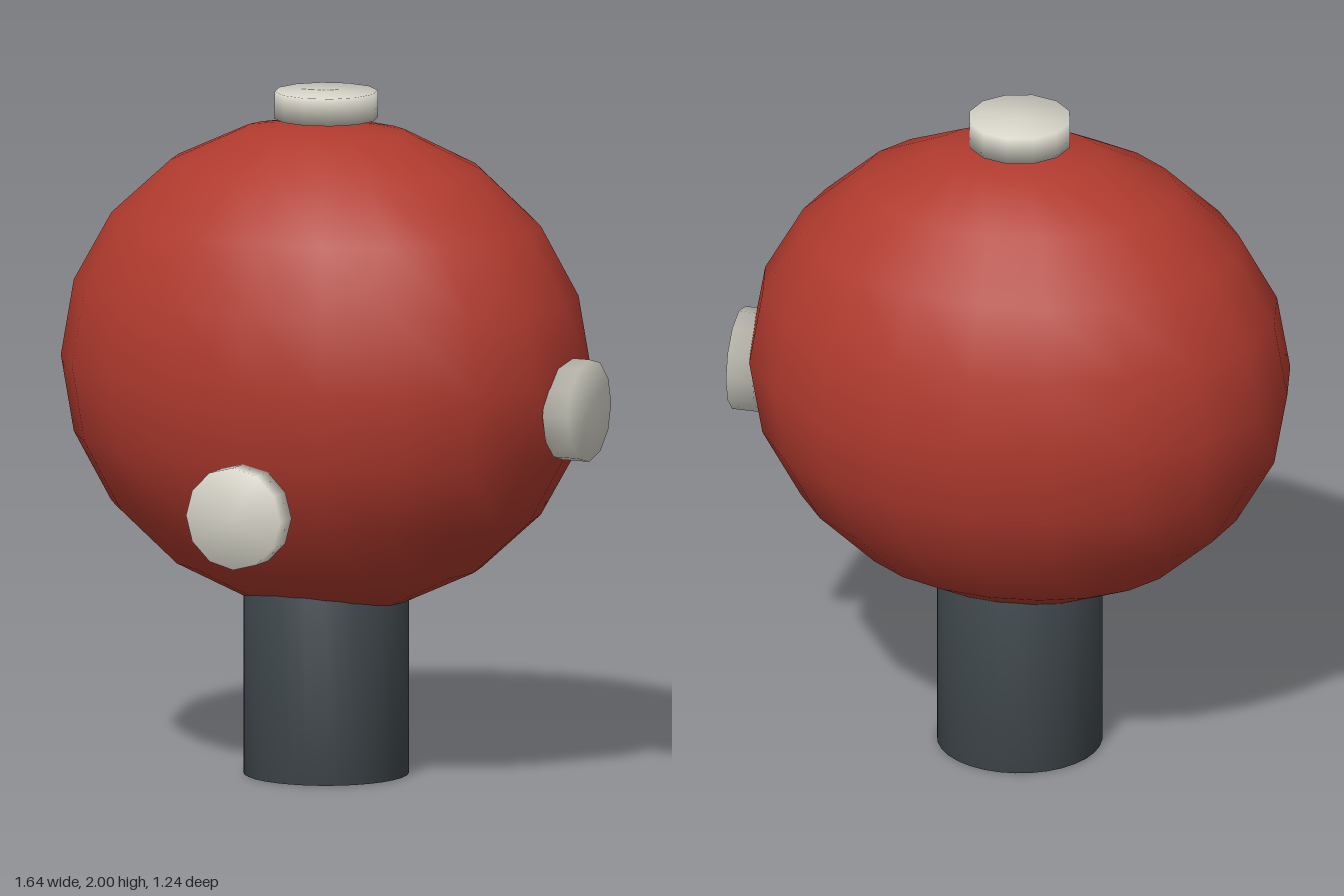
import * as THREE from 'three';

const mat = (color) => new THREE.MeshStandardMaterial({ color });
const profile = (pts) => pts.map(([r, y]) => new THREE.Vector2(r, y));

export function createModel() {
  const model = new THREE.Group();
  const red = mat(0xb03a2e), dark = mat(0x3f474b), pale = mat(0xd6d4c8);
  const C = -0.02; // shared axis offset in x and z

  const add = (name, geometry, material, x, y, z) => {
    const mesh = new THREE.Mesh(geometry, material);
    mesh.name = name;
    mesh.position.set(x, y, z);
    model.add(mesh);
    return mesh;
  };

  // Egg-shaped body
  const bodyGeo = new THREE.SphereGeometry(1, 20, 10);
  bodyGeo.scale(0.8, 0.72, 0.6);
  add('body', bodyGeo, red, C, 1.2, C);

  // Hollow neck, its top buried in the body
  const neckGeo = new THREE.LatheGeometry(
    profile([[0.13, 0.6], [0.13, 0], [0.24, 0], [0.24, 0.6], [0.13, 0.6]]), 32);
  add('neck', neckGeo, dark, C, 0, C);

  // Round twelve-sided caps on the top, left and front
  const capGeo = new THREE.LatheGeometry(
    profile([[0, 0], [0.15, 0], [0.15, 0.08], [0, 0.08]]), 12);
  add('topCap', capGeo, pale, C, 1.92, C);
  add('leftCap', capGeo, pale, 0.74, 1.12, C).rotation.z = -Math.PI / 2;
  add('frontCap', capGeo, pale, C, 0.84, 0.54).rotation.x = Math.PI / 2;

  return model;
}
